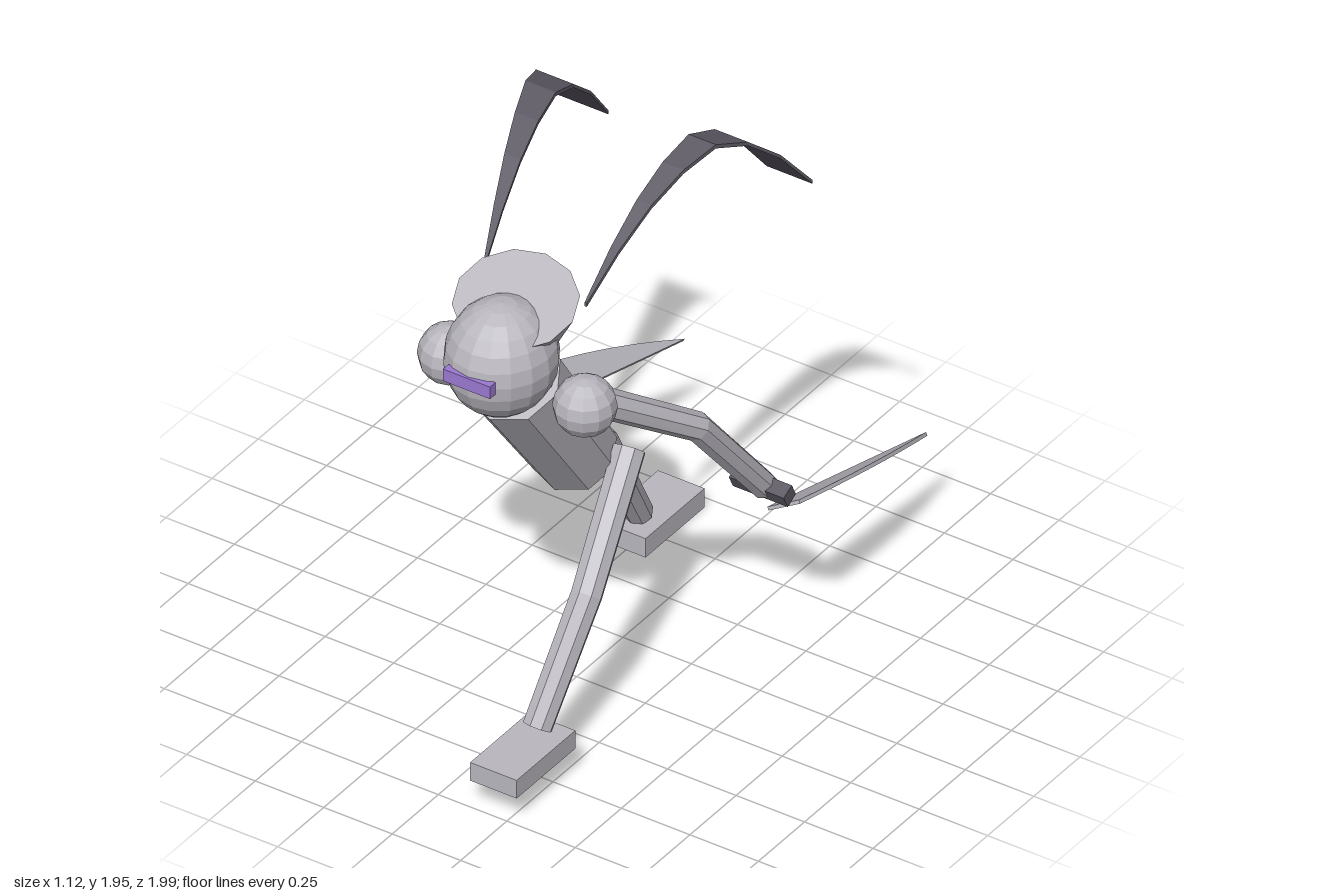
import * as THREE from 'three';

const flat = (color, name) => {
  const m = new THREE.MeshStandardMaterial({ color, flatShading: true });
  m.name = name;
  return m;
};
const V = (x, y, z) => new THREE.Vector3(x, y, z);

export function createModel() {
  const model = new THREE.Group();
  model.name = 'figure';
  const shell = flat(0xbab7bf, 'pale grey shell');
  const dark = flat(0x5d5964, 'dark grey');
  const violet = flat(0x9a78d0, 'violet');

  const add = (parent, name, geometry, material, x = 0, y = 0, z = 0, rotX = 0) => {
    const mesh = new THREE.Mesh(geometry, material);
    mesh.name = name;
    mesh.position.set(x, y, z);
    mesh.rotation.x = rotX;
    parent.add(mesh);
    return mesh;
  };

  // A capped eight-sided tube bent through three points
  const limb = (parent, name, points, r0, r1) => {
    const geo = new THREE.CylinderGeometry(r0, r1, 1, 8, 2);
    const rings = points.map((p, i) => {
      const before = points[Math.max(i - 1, 0)], after = points[Math.min(i + 1, 2)];
      const dirs = [[before, p], [p, after]].map(([a, b]) => b.clone().sub(a).normalize());
      const up = dirs[0].add(dirs[1]).normalize().negate();
      const side = V(1, 0, 0).addScaledVector(up, -up.x).normalize();
      return { p, side, fwd: side.clone().cross(up) };
    });
    const pos = geo.attributes.position;
    for (let i = 0; i < pos.count; i++) {
      const ring = rings[Math.round((0.5 - pos.getY(i)) * 2)];
      const v = ring.p.clone().addScaledVector(ring.side, pos.getX(i)).addScaledVector(ring.fwd, pos.getZ(i));
      pos.setXYZ(i, v.x, v.y, v.z);
    }
    geo.computeVertexNormals();
    return add(parent, name, geo, shell);
  };

  // Torso leaning forward
  add(model, 'torso', new THREE.CylinderGeometry(0.165, 0.145, 0.583, 8), shell, 0, 1.075, 0.431, 0.617)
    .scale.z = 0.91;

  // Head, visor and the flared collar behind the head
  add(model, 'head', new THREE.SphereGeometry(1, 16, 12), shell, 0, 1.425, 0.657)
    .scale.set(0.175, 0.193, 0.187);
  add(model, 'visor', new THREE.BoxGeometry(0.172, 0.044, 0.03), violet, 0, 1.43, 0.833);
  add(model, 'collar', new THREE.CylinderGeometry(0.207, 0.055, 0.26, 12), shell, 0, 1.467, 0.525, 0.434)
    .scale.z = 0.87;

  // Arms with grips and swept blades, built on +x and mirrored
  const arm = new THREE.Group();
  arm.name = 'leftArm';
  add(arm, 'shoulder', new THREE.SphereGeometry(0.1, 12, 8), shell, 0.247, 1.288, 0.572);
  limb(arm, 'armTube', [V(0.24, 1.26, 0.5), V(0.385, 1.03, 0.17), V(0.425, 0.65, -0.135)], 0.05, 0.044);
  add(arm, 'grip', new THREE.BoxGeometry(0.2, 0.05, 0.05), dark, 0.425, 0.655, -0.125, 0.45);

  const along = V(0, -0.224, -0.86), across = V(0.115, 0.07, 0);
  const len = along.length(), wide = across.length();
  const outline = new THREE.Shape();
  outline.moveTo(0, 0);
  outline.lineTo(len, 0);
  outline.quadraticCurveTo(len * 0.5, wide * 0.95, 0, wide);
  outline.closePath();
  const bladeGeo = new THREE.ExtrudeGeometry(outline, { depth: 0.012, bevelEnabled: false, curveSegments: 8 });
  along.normalize();
  across.normalize();
  bladeGeo.applyMatrix4(new THREE.Matrix4()
    .makeBasis(along, across, along.clone().cross(across).normalize())
    .setPosition(0.44, 0.58, -0.13));
  add(arm, 'blade', bladeGeo, shell);
  const rightArm = arm.clone();
  rightArm.name = 'rightArm';
  rightArm.scale.x = -1;
  model.add(arm, rightArm);

  // Striding legs: left forward, right behind
  limb(model, 'leftLeg', [V(0.165, 0.885, 0.21), V(0.225, 0.555, 0.53), V(0.2, 0.19, 0.76)], 0.053, 0.048);
  limb(model, 'rightLeg', [V(-0.155, 0.875, 0.175), V(-0.205, 0.54, -0.19), V(-0.262, 0.085, -0.475)], 0.055, 0.046);
  add(model, 'leftFoot', new THREE.BoxGeometry(0.17, 0.067, 0.318), shell, 0.201, 0.131, 0.841);
  add(model, 'rightFoot', new THREE.BoxGeometry(0.17, 0.07, 0.32), shell, -0.263, 0.035, -0.547);

  // Arched ribbons that widen towards their tips
  const arch = [1.58, 1.72, 1.832, 1.908, 1.947, 1.902, 1.8, 1.652];
  const ribbon = (name, side, drop, inner, outer) => {
    const geo = new THREE.BoxGeometry(1, 1, 1, 1, 1, 7);
    const pos = geo.attributes.position;
    for (let i = 0; i < pos.count; i++) {
      const t = 0.5 - pos.getZ(i);
      // x is flipped with the side so that the faces keep their order
      const outward = pos.getX(i) * side > 0;
      const x = 0.185 + t * ((outward ? outer : inner) - 0.185) + (outward ? 0.004 : -0.004);
      const y = arch[Math.round(t * 7)] - drop * Math.min(t * 1.75, 1) + pos.getY(i) * 0.014;
      pos.setXYZ(i, side * x, y, 0.476 - t * 0.835);
    }
    geo.computeVertexNormals();
    add(model, name, geo, dark);
  };
  ribbon('leftRibbon', 1, 0, 0.287, 0.447);
  ribbon('rightRibbon', -1, 0.035, 0.298, 0.478);

  return model;
}
